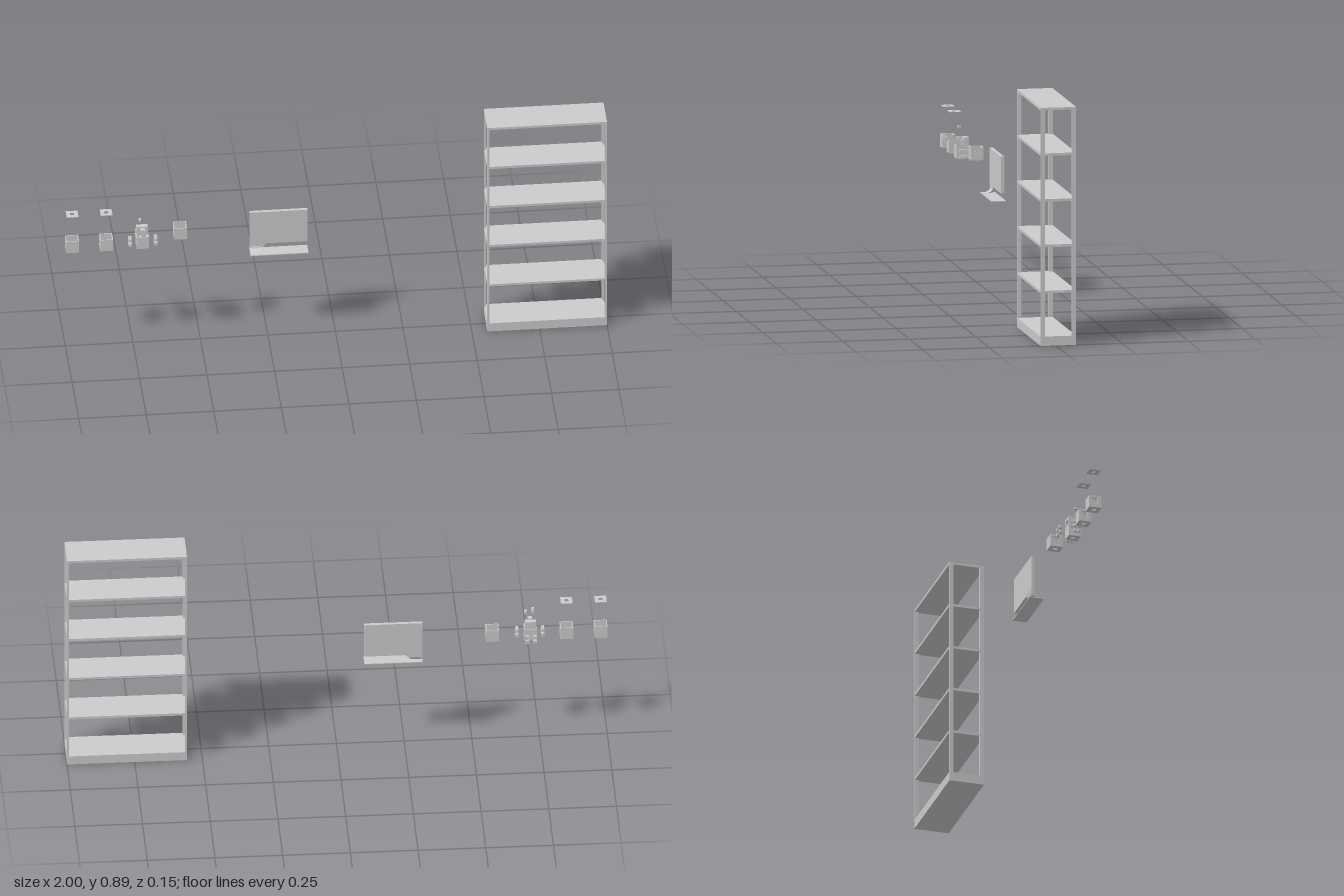
import * as THREE from 'three';

const grey = new THREE.MeshStandardMaterial({ color: 0xcccccc, flatShading: true, side: THREE.DoubleSide });

function add(parent, name, geometry) {
  const mesh = new THREE.Mesh(geometry, grey);
  mesh.name = name;
  parent.add(mesh);
  return mesh;
}

// Box given by its lower and upper limits on each axis
function box(parent, name, x0, x1, y0, y1, z0, z1) {
  const m = add(parent, name, new THREE.BoxGeometry(x1 - x0, y1 - y0, z1 - z0));
  m.position.set((x0 + x1) / 2, (y0 + y1) / 2, (z0 + z1) / 2);
  return m;
}

function group(parent, name) {
  const g = new THREE.Group();
  g.name = name;
  parent.add(g);
  return g;
}

// Square panel with a rectangular or key-shaped cut-out, centred, facing +z
function cutPanel(size, thickness, keyed) {
  const h = size / 2, k = size * 0.16;
  const s = new THREE.Shape([[-h, -h], [h, -h], [h, h], [-h, h]].map(p => new THREE.Vector2(...p)));
  const cut = keyed
    ? [[-k, -k], [-k, k], [-2 * k, k], [-2 * k, 2 * k], [k, 2 * k], [k, -k]]
    : [[-k, -k], [-k, k], [k, k], [k, -k]];
  s.holes.push(new THREE.Path(cut.map(p => new THREE.Vector2(...p))));
  const g = new THREE.ExtrudeGeometry(s, { depth: thickness, bevelEnabled: false });
  return g.translate(0, 0, -thickness / 2);
}

// Hollow cube, open on top, with cut-outs in its sides and floor
function hollowCube(parent, name, x, y, z, size = 0.048) {
  const g = group(parent, name), h = size / 2, t = 0.003, e = h - t / 2;
  g.position.set(x, y, z);
  box(g, 'frontWall', -h, h, -h, h, h - t, h);
  box(g, 'backWall', -h, h, -h, h, -h, -h + t);
  for (const s of [-1, 1]) {
    const wall = add(g, 'sideWall', cutPanel(size, t, true));
    wall.rotation.y = s * Math.PI / 2;
    wall.position.x = s * e;
  }
  const floor = add(g, 'floor', cutPanel(size, t, false));
  floor.rotation.x = -Math.PI / 2;
  floor.position.y = -e;
  return g;
}

function buildShelf(root) {
  const g = group(root, 'shelvingUnit');
  const x0 = 0.557, x1 = 1, z0 = -0.076, z1 = 0.057, h = 0.888;
  box(g, 'base', x0, x1, 0, 0.035, z0, z1);
  for (const y of [0.196, 0.368, 0.538, 0.709, 0.879]) box(g, 'shelf', x0, x1, y, y + 0.0095, z0, z1);
  for (const x of [x0, x1 - 0.007])
    for (const z of [z0, z1 - 0.016]) box(g, 'post', x, x + 0.007, 0.035, h - 0.009, z, z + 0.016);
}

function buildScreen(root) {
  const g = group(root, 'screen');
  box(g, 'panel', -0.316, -0.101, 0.392, 0.529, -0.027, -0.014);
  box(g, 'foot', -0.316, -0.101, 0.361, 0.364, -0.033, 0.021);

  // Curved neck sweeping from the panel forward into the foot
  const profile = [[0.393, -0.016, -0.247], [0.389, -0.016, -0.255], [0.381, -0.016, -0.264],
    [0.373, -0.013, -0.272], [0.367, -0.006, -0.279], [0.364, 0.004, -0.287]];
  const pos = [], idx = [];
  profile.forEach(([y, z, edge], i) => {
    const back = z - 0.01;
    pos.push(-0.316, y, z, edge, y, z, edge, y, back, -0.316, y, back);
    if (i === 0) return;
    const a = (i - 1) * 4, b = i * 4;
    for (let j = 0; j < 4; j++) {
      const k = (j + 1) % 4;
      idx.push(a + j, b + j, b + k, a + j, b + k, a + k);
    }
  });
  const geo = new THREE.BufferGeometry();
  geo.setAttribute('position', new THREE.Float32BufferAttribute(pos, 3));
  geo.setIndex(idx);
  geo.computeVertexNormals();
  add(g, 'neck', geo);
}

function buildCubes(root) {
  const g = group(root, 'cubes');
  const cz = 0.0115, cy = 0.451;

  // Two cubes with their lids floating above
  for (const x of [-0.976, -0.85]) {
    hollowCube(g, 'hollowCube', x, cy, cz);
    const lid = add(g, 'lid', cutPanel(0.044, 0.001, false));
    lid.rotation.x = -Math.PI / 2;
    lid.position.set(x, 0.581, cz);
  }
  hollowCube(g, 'loneCube', -0.574, 0.468, -0.015);

  // Cube taken apart, its small parts hovering around it
  const e = group(g, 'explodedCube'), cx = -0.716;
  hollowCube(e, 'hollowCube', cx, cy, cz, 0.046);
  box(e, 'topBlock', -0.731, -0.722, 0.541, 0.549, 0.012, 0.026);
  for (const s of [-1, 1]) {
    // Frame over the cube
    box(e, 'frameLeg', cx + s * 0.018 - 0.003, cx + s * 0.018 + 0.003, 0.472, 0.496, -0.012, 0.007);
    // Blocks in front
    box(e, 'frontBlock', cx + s * 0.013 - 0.005, cx + s * 0.013 + 0.005, 0.495, 0.506, 0.064, 0.078);
    // Blocks at the sides and behind
    for (const y of [0.44, 0.46]) {
      const w = s < 0 ? -0.762 : -0.667;
      for (const z of [0.001, 0.016]) box(e, 'sideBlock', w - 0.006, w + 0.006, y - 0.006, y + 0.006, z, z + 0.011);
      box(e, 'backBlock', cx + s * 0.014 - 0.007, cx + s * 0.014 + 0.007, y - 0.006, y + 0.006, -0.047, -0.037);
    }
  }
  box(e, 'frameTop', cx - 0.021, cx + 0.021, 0.494, 0.506, -0.012, 0.007);
  box(e, 'middleBlock', cx - 0.008, cx + 0.008, 0.495, 0.506, 0.015, 0.031);
}

export function createModel() {
  const root = new THREE.Group();
  root.name = 'furnitureSet';
  buildShelf(root);
  buildScreen(root);
  buildCubes(root);
  return root;
}
